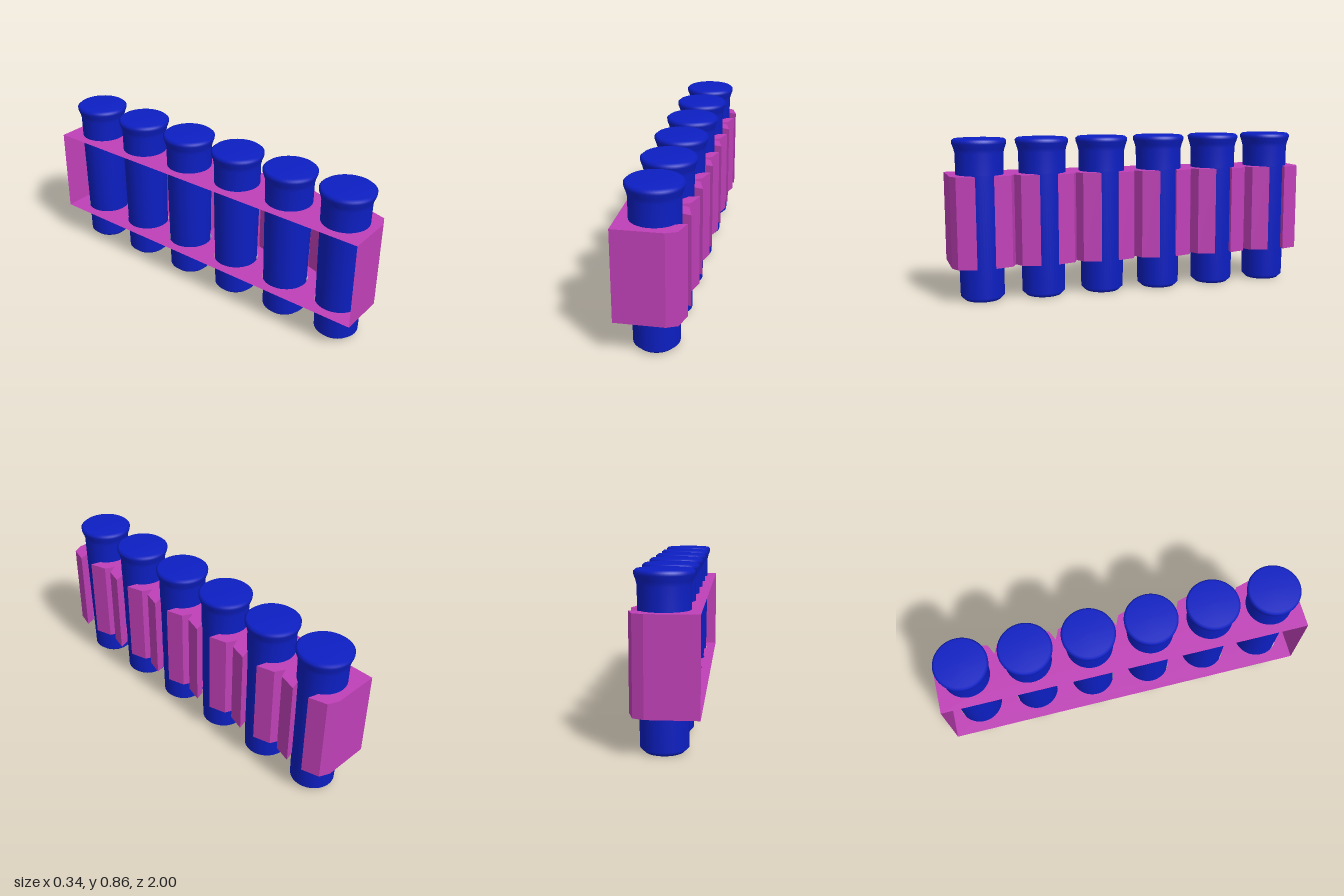
import * as THREE from 'three';

const UNITS = 6, PITCH = 1 / 3;
const BOTTOM = 0.19, TOP = 0.668, BACK = -0.17;
const PIN_X = 0.006, HOLE_R = 0.122, HOLE_ANGLE = 0.56;
const centres = Array.from({ length: UNITS }, (_, i) => -1 + PITCH * (i + 0.5));

// One jaw in plan, as [x, z offset from the pin]: hole edge, tip, shoulder, notch
const JAW = [
  [PIN_X + HOLE_R * Math.cos(HOLE_ANGLE), HOLE_R * Math.sin(HOLE_ANGLE)],
  [0.167, 0.048],
  [0.14, 0.142],
  [0.085, PITCH / 2],
];

// Upright wall following a plan path of [x, z] points
function wallGeometry(path) {
  const geometry = new THREE.PlaneGeometry(1, 1, path.length - 1, 1);
  const pos = geometry.attributes.position;
  for (let i = 0; i < pos.count; i++) {
    const [x, z] = path[i % path.length];
    pos.setXYZ(i, x, i < path.length ? TOP : BOTTOM, z);
  }
  geometry.computeVertexNormals();
  return geometry;
}

// Flat plate outline with a round opening at each pin
function plateGeometry() {
  const shape = new THREE.Shape();
  shape.moveTo(BACK, -1);
  for (const c of centres) {
    for (const [x, d] of [...JAW].reverse()) shape.lineTo(x, c - d);
    shape.absarc(PIN_X, c, HOLE_R, -HOLE_ANGLE, HOLE_ANGLE, true);
    for (const [x, d] of JAW.slice(1)) shape.lineTo(x, c + d);
  }
  shape.lineTo(BACK, 1);
  shape.closePath();
  return new THREE.ShapeGeometry(shape, 32).rotateX(Math.PI / 2);
}

// Solid pin: chamfered foot, slight taper, flared head
function pinGeometry() {
  const profile = [
    [0, 0], [0.093, 0], [0.116, 0.022], [0.125, 0.67], [0.126, 0.78],
    [0.132, 0.805], [0.141, 0.83], [0.142, 0.845], [0.13, 0.855], [0, 0.855],
  ].map(([r, y]) => new THREE.Vector2(r, y));
  return new THREE.LatheGeometry(profile, 48);
}

export function createModel() {
  const model = new THREE.Group();
  model.name = 'pinRack';

  const pink = new THREE.MeshStandardMaterial({
    color: 0xc040b8, side: THREE.DoubleSide, flatShading: true,
  });
  const blue = new THREE.MeshStandardMaterial({ color: 0x0d1fc4 });

  const add = (parent, name, geometry, material) => {
    const mesh = new THREE.Mesh(geometry, material);
    mesh.name = name;
    parent.add(mesh);
    return mesh;
  };

  // Holder, open along its back
  const holder = new THREE.Group();
  holder.name = 'holder';
  model.add(holder);

  const plate = plateGeometry();
  add(holder, 'topPlate', plate, pink).position.y = TOP;
  add(holder, 'bottomPlate', plate, pink).position.y = BOTTOM;
  for (const z of [-1, 1]) {
    const path = [[BACK, z], [JAW[3][0], z]];
    add(holder, 'endWall', wallGeometry(z > 0 ? path : path.reverse()), pink);
  }

  // Clip jaws either side of each pin, and the pins
  const pin = pinGeometry();
  for (const c of centres) {
    for (const s of [-1, 1]) {
      const path = JAW.map(([x, d]) => [x, c + s * d]);
      add(holder, 'clipJaw', wallGeometry(s > 0 ? path.reverse() : path), pink);
    }
    add(model, 'pin', pin, blue).position.set(PIN_X, 0, c);
  }
  return model;
}
